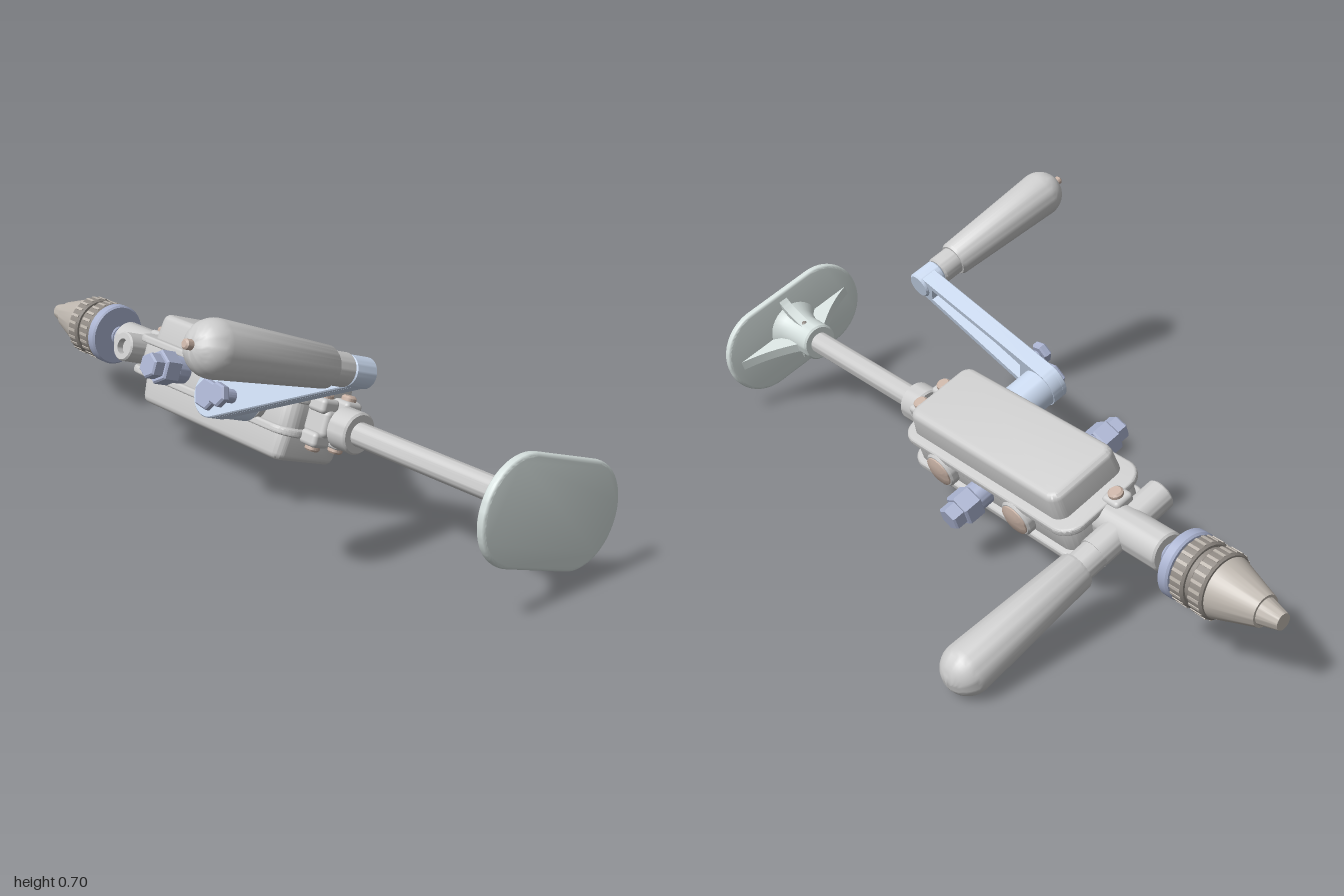
import * as THREE from 'three';
import { toCreasedNormals } from 'three/addons/utils/BufferGeometryUtils.js';
import { RoundedBoxGeometry } from 'three/addons/geometries/RoundedBoxGeometry.js';

const mat = (color) => new THREE.MeshStandardMaterial({ color });
const GREY = mat(0xcccccc), BLUE = mat(0xcad9ef), STEEL = mat(0xa9b2cf);
const COPPER = mat(0xc9b3a6), CHUCK = mat(0xbdb6ae), DARK = mat(0x8f8983), PAD = mat(0xd5dfdd);

function add(parent, name, geometry, material, x = 0, y = 0, z = 0) {
  const mesh = new THREE.Mesh(geometry, material);
  mesh.name = name;
  mesh.position.set(x, y, z);
  parent.add(mesh);
  return mesh;
}

// Turned part: points are [position along axis, radius], in rising order
function turned(points, axis, sides = 40) {
  let g = new THREE.LatheGeometry(points.map(([s, r]) => new THREE.Vector2(r, s)), sides);
  g = toCreasedNormals(g, 0.55);
  if (axis === 'x') g.rotateZ(-Math.PI / 2);
  if (axis === 'z') g.rotateX(Math.PI / 2);
  return g;
}
const rod = (a, b, r, axis, sides, c = 0.005) =>
  turned([[a, 0], [a, r - c], [a + c, r], [b - c, r], [b, r - c], [b, 0]], axis, sides);

function roundedRect(hx, hy, r) {
  const s = new THREE.Shape();
  s.absarc(hx - r, hy - r, r, 0, Math.PI / 2);
  s.absarc(-hx + r, hy - r, r, Math.PI / 2, Math.PI);
  s.absarc(-hx + r, -hy + r, r, Math.PI, Math.PI * 1.5);
  s.absarc(hx - r, -hy + r, r, Math.PI * 1.5, Math.PI * 2);
  return s;
}

// Extrusion centred on its depth, with a rounded bevel inside the outline
function slab(shape, depth, bevel, segments = 3) {
  const g = new THREE.ExtrudeGeometry(shape, {
    depth: depth - 2 * bevel, bevelEnabled: bevel > 0, bevelSize: bevel, bevelThickness: bevel,
    bevelOffset: -bevel, bevelSegments: segments, curveSegments: 14,
  });
  g.translate(0, 0, -(depth - 2 * bevel) / 2);
  return toCreasedNormals(g, 0.6);
}
const flatSlab = (hx, hz, r, depth, bevel) =>
  slab(roundedRect(hx, hz, r), depth, bevel).rotateX(-Math.PI / 2);

// Tapered wooden grip growing along +z from z = 0
function grip(length) {
  const R = 0.067, pts = [[0, 0], [0, 0.046], [0.008, 0.051]];
  for (let i = 0; i <= 10; i++) {
    const a = (i / 10) * Math.PI / 2;
    pts.push([length - R + R * Math.sin(a), R * Math.cos(a)]);
  }
  return turned(pts, 'z');
}

function buildGearbox(g) {
  const body = new THREE.Group();
  body.name = 'gearbox';
  g.add(body);
  add(body, 'housingBand', flatSlab(0.325, 0.122, 0.045, 0.1, 0.005), GREY, -0.1);
  for (const s of [1, -1]) {
    add(body, 'flange', flatSlab(0.342, 0.14, 0.06, 0.022, 0.008), GREY, -0.1, s * 0.045);
    const cover = flatSlab(0.312, 0.118, 0.035, 0.14, 0.018);
    // draft: narrower towards the outside
    const p = cover.attributes.position;
    for (let i = 0; i < p.count; i++) {
      const k = 1 - 0.06 * (p.getY(i) / 0.14 + 0.5);
      p.setXYZ(i, p.getX(i) * k, p.getY(i), p.getZ(i) * k);
    }
    const m = add(body, 'cover', cover, GREY, -0.088, s * 0.058);
    if (s < 0) m.rotation.x = Math.PI;
    // end lugs with screws
    for (const [x, z] of [[-0.445, 0.03], [0.262, -0.035], [0.262, 0.05]]) {
      add(body, 'lug', new RoundedBoxGeometry(0.06, 0.04, 0.06, 3, 0.012), GREY, x, s * 0.045, z);
      add(body, 'screw', rod(-0.012, 0.012, 0.02, 'y', 24), COPPER, x, s * 0.066, z);
    }
  }
  add(body, 'endBlock', new RoundedBoxGeometry(0.08, 0.075, 0.13, 3, 0.015), GREY, 0.26, 0, 0);

  // Side plugs and hex caps, on both sides
  const sides = [[1, -0.22, [-0.065, 0.085]], [-1, -0.08, [-0.23, 0.08]]];
  for (const [s, nutX, plugs] of sides) {
    const side = new THREE.Group();
    side.name = s > 0 ? 'frontFittings' : 'backFittings';
    side.rotation.y = s > 0 ? 0 : Math.PI;
    body.add(side);
    for (const x of plugs) {
      add(side, 'boss', rod(0.1, 0.146, 0.052, 'z'), GREY, x * s);
      add(side, 'plug', turned([[0.14, 0.044], [0.15, 0.044], [0.156, 0.03], [0.159, 0]], 'z'), COPPER, x * s);
    }
    add(side, 'nutCollar', rod(0.1, 0.165, 0.038, 'z'), STEEL, nutX * s);
    add(side, 'hexNut', rod(0.16, 0.215, 0.048, 'z', 6), STEEL, nutX * s);
    add(side, 'hexCap', rod(0.21, 0.25, 0.036, 'z', 6), STEEL, nutX * s);
  }
}

function buildChuck(g) {
  const chuck = new THREE.Group();
  chuck.name = 'chuck';
  g.add(chuck);
  add(chuck, 'jaws', turned([[-1, 0], [-1, 0.022], [-0.945, 0.036], [-0.94, 0.036]], 'x'), CHUCK);
  add(chuck, 'nose', turned([[-0.947, 0], [-0.947, 0.042], [-0.828, 0.08], [-0.82, 0.07]], 'x'), CHUCK);
  add(chuck, 'sleeveCore', rod(-0.83, -0.71, 0.076, 'x'), DARK);
  for (const x of [-0.825, -0.765])
    add(chuck, 'gripRing', rod(x, x + 0.044, 0.087, 'x'), DARK);
  // knurling ribs around the grip rings
  for (let i = 0; i < 24; i++) {
    const a = (i / 24) * Math.PI * 2;
    for (const x of [-0.803, -0.743]) {
      const rib = add(chuck, 'knurl', new THREE.BoxGeometry(0.034, 0.006, 0.008), CHUCK,
        x, 0.086 * Math.cos(a), 0.086 * Math.sin(a));
      rib.rotation.x = a;
    }
  }
  add(chuck, 'backDisc', rod(-0.718, -0.685, 0.09, 'x'), STEEL);
  add(chuck, 'spindle', rod(-0.69, -0.62, 0.022, 'x'), STEEL);
  for (let i = 0; i < 4; i++) add(chuck, 'thread', rod(-0.682 + i * 0.012, -0.674 + i * 0.012, 0.029, 'x', 24, 0.003), STEEL);
}

function buildCrank(g) {
  const crank = new THREE.Group();
  crank.name = 'crank';
  crank.position.x = 0.085;
  crank.rotation.z = 0.385;
  g.add(crank);
  const L = 0.485, r1 = 0.06, r2 = 0.036, a = Math.acos((r1 - r2) / L);
  const outline = () => {
    const s = new THREE.Shape();
    s.absarc(0, 0, r1, a, Math.PI * 2 - a);
    s.absarc(L, 0, r2, -a, a);
    return s;
  };
  add(crank, 'armFace', slab(outline(), 0.018, 0.003, 1), BLUE, 0, 0, 0.273);
  // channelled rear of the arm
  const rim = outline(), hole = new THREE.Path();
  hole.moveTo(0.075, -0.04);
  hole.lineTo(0.075, 0.04);
  hole.lineTo(L - 0.05, 0.022);
  hole.lineTo(L - 0.05, -0.022);
  hole.closePath();
  rim.holes.push(hole);
  add(crank, 'armRim', slab(rim, 0.034, 0), BLUE, 0, 0, 0.249);
  add(crank, 'hub', rod(0.145, 0.25, 0.057, 'z'), BLUE);
  add(crank, 'hubNut', rod(0.275, 0.3, 0.042, 'z', 6), STEEL);
  add(crank, 'setScrew', rod(0.275, 0.315, 0.018, 'z', 20), STEEL, 0.085, -0.015);
  add(crank, 'setScrewHead', rod(0.315, 0.34, 0.032, 'z', 6), STEEL, 0.085, -0.015);
  add(crank, 'endBoss', rod(0.225, 0.3, 0.038, 'z'), BLUE, L);
  add(crank, 'ferrule', rod(0.3, 0.37, 0.041, 'z'), GREY, L);
  add(crank, 'crankGrip', grip(0.42), GREY, L, 0, 0.36);
  add(crank, 'gripPin', rod(0.77, 0.798, 0.012, 'z', 20, 0.004), COPPER, L);
}

function buildBreastPlate(g) {
  const plate = new THREE.Group();
  plate.name = 'breastPlate';
  g.add(plate);
  add(plate, 'pad', slab(roundedRect(0.245, 0.136, 0.134), 0.024, 0.009).rotateY(Math.PI / 2), PAD, 0.981);
  add(plate, 'socket', turned([[0.835, 0], [0.835, 0.05], [0.84, 0.055], [0.92, 0.055],
    [0.95, 0.065], [0.975, 0.09]], 'x'), PAD);
  // curved ribs: two long, two short
  for (let i = 0; i < 4; i++) {
    const reach = i % 2 ? 0.225 : 0.12;
    const s = new THREE.Shape();
    s.moveTo(0.875, 0.03);
    s.lineTo(0.975, 0.03);
    s.lineTo(0.975, reach);
    s.quadraticCurveTo(0.95, reach * 0.55 + 0.01, 0.875, 0.05);
    add(plate, 'rib', slab(s, 0.028, 0), PAD).rotation.x = i * Math.PI / 2;
  }
  add(plate, 'socketPin', rod(-0.058, 0.058, 0.01, 'y', 16), DARK, 0.89);
}

export function createModel() {
  const model = new THREE.Group();
  model.name = 'handDrill';
  // the whole tool rests tilted on its side handle
  const tool = new THREE.Group();
  tool.name = 'tool';
  tool.position.set(0, 0.247, -0.065);
  tool.rotation.set(-0.332, 0.028, 0);
  model.add(tool);

  buildGearbox(tool);
  buildChuck(tool);
  buildCrank(tool);
  buildBreastPlate(tool);

  // Shaft parts along the drill axis
  add(tool, 'frontNeck', rod(-0.638, -0.41, 0.053, 'x'), GREY);
  add(tool, 'rearCollar', rod(0.295, 0.362, 0.056, 'x'), GREY);
  add(tool, 'rearShaft', rod(0.22, 0.86, 0.032, 'x'), GREY);

  // Side handle with its clamp
  add(tool, 'handleClamp', turned([[-0.11, 0], [-0.11, 0.042], [0.13, 0.042], [0.135, 0.038],
    [0.135, 0.022], [0.115, 0.022], [0.115, 0]], 'z'), GREY, -0.485);
  add(tool, 'handleFerrule', rod(-0.18, -0.1, 0.04, 'z'), GREY, -0.487);
  add(tool, 'sideGrip', grip(0.435), GREY, -0.488, 0, -0.165).rotation.y = Math.PI;
  return model;
}
